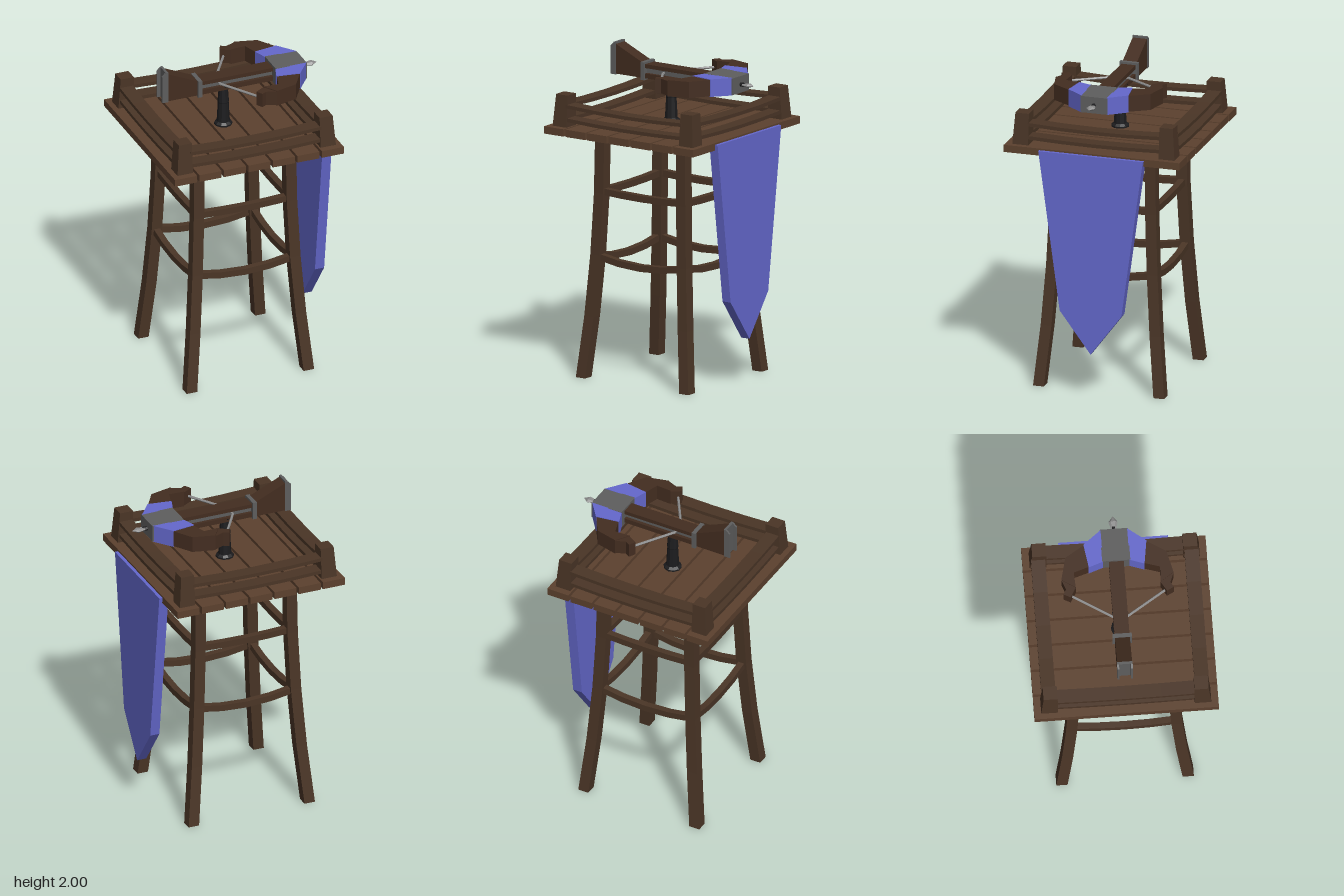
import * as THREE from 'three';

const CX = -0.025; // centre of the tower in x
const mat = (color) => new THREE.MeshStandardMaterial({ color, flatShading: true });
const plankWood = mat(0x5c412e), frameWood = mat(0x4a3526), darkWood = mat(0x432d20);
const cloth = mat(0x6468cc), steel = mat(0x5e5e5e), iron = mat(0x1c1c1e), bright = mat(0x8c8c8c);

export function createModel() {
  const root = new THREE.Group();

  const add = (name, geometry, material, x = 0, y = 0, z = 0, parent = root) => {
    const mesh = new THREE.Mesh(geometry, material);
    mesh.name = name;
    mesh.position.set(x, y, z);
    parent.add(mesh);
    return mesh;
  };
  const box = (name, material, x0, x1, y0, y1, z0, z1, parent = root) =>
    add(name, new THREE.BoxGeometry(x1 - x0, y1 - y0, z1 - z0), material,
      (x0 + x1) / 2, (y0 + y1) / 2, (z0 + z1) / 2, parent);
  const deform = (geometry, rule) => {
    const p = geometry.attributes.position;
    const v = new THREE.Vector3();
    for (let i = 0; i < p.count; i++) {
      rule(v.fromBufferAttribute(p, i));
      p.setXYZ(i, v.x, v.y, v.z);
    }
    geometry.computeVertexNormals();
    return geometry;
  };
  const shapeOf = (points) => new THREE.Shape(points.map(([x, y]) => new THREE.Vector2(x, y)));
  const extrude = (points, depth) =>
    new THREE.ExtrudeGeometry(shapeOf(points), { depth, bevelEnabled: false });
  // outline given as [x, z], raised from y0 to y1
  const plan = (points, y0, y1) =>
    extrude(points.map(([x, z]) => [x, -z]), y1 - y0).rotateX(-Math.PI / 2).translate(0, y0, 0);
  const rod = (name, a, b, radius, material, parent) => {
    const dir = new THREE.Vector3().subVectors(b, a);
    const mesh = add(name, new THREE.CylinderGeometry(radius, radius, dir.length(), 6), material, 0, 0, 0, parent);
    mesh.position.addVectors(a, b).multiplyScalar(0.5);
    mesh.quaternion.setFromUnitVectors(new THREE.Vector3(0, 1, 0), dir.normalize());
  };

  // deck planks
  for (let i = -3; i <= 3; i++) {
    const x = CX + i * 0.159;
    box('deckPlank', plankWood, x - 0.072, x + 0.072, 1.51, 1.555, -0.555, 0.555);
  }

  // splayed legs and corner posts
  const splay = (y) => 0.297 + 0.083 * (1 - y / 1.51) ** 2;
  for (const sx of [-1, 1]) {
    for (const sz of [-1, 1]) {
      const leg = new THREE.BoxGeometry(0.068, 1.51, 0.068, 1, 4, 1).translate(0, 0.755, 0);
      add('leg', deform(leg, (v) => {
        const s = splay(v.y);
        v.x += sx * s;
        v.z += sz * s;
      }), frameWood, CX);
      const post = new THREE.BoxGeometry(0.1, 0.195, 0.1);
      add('cornerPost', deform(post, (v) => {
        if (v.y < 0) return;
        if (v.x * sx > 0) v.x -= sx * 0.015;
        if (v.z * sz > 0) v.z -= sz * 0.015;
      }), frameWood, CX + sx * 0.465, 1.6525, sz * 0.462);
    }
  }

  // sagging rungs and rails on all four sides
  const sagBar = (length, height, depth, sag) =>
    deform(new THREE.BoxGeometry(length, height, depth, 4, 1, 1), (v) => {
      v.y -= sag * (1 - (2 * v.x / length) ** 2);
    });
  for (let side = 0; side < 4; side++) {
    const frame = new THREE.Group();
    frame.name = 'sideFrame';
    frame.position.x = CX;
    frame.rotation.y = side * Math.PI / 2;
    root.add(frame);
    for (const [y, sag] of [[0.745, 0.035], [1.145, 0.01]]) {
      const s = splay(y);
      add('legRung', sagBar(2 * s, 0.04, 0.04, sag), frameWood, 0, y, s, frame);
    }
    for (const [y, sag] of [[1.6, 0.01], [1.683, 0.012]]) {
      add('guardRail', sagBar(0.85, 0.022, 0.085, sag), frameWood, 0, y, 0.462, frame);
    }
  }

  // hanging banner with pointed end
  const banner = extrude([[-0.33, 1.545], [-0.195, 0.55], [0, 0.29], [0.195, 0.55], [0.33, 1.545]], 0.06);
  add('banner', banner.rotateY(Math.PI / 2), cloth, 0.485);

  // swivel stand
  const profile = [[0, 0], [0.055, 0], [0.055, 0.012], [0.04, 0.025], [0.033, 0.15], [0.035, 0.155],
    [0.026, 0.27], [0, 0.27]].map(([r, y]) => new THREE.Vector2(r, y));
  add('swivelStand', new THREE.LatheGeometry(profile, 10), iron, -0.03, 1.553, 0);
  add('swivelYoke', new THREE.CylinderGeometry(0.05, 0.035, 0.02, 8), iron, -0.03, 1.815, 0);

  const bow = new THREE.Group();
  bow.name = 'crossbow';
  root.add(bow);

  // stock: two boards with the bolt channel between, and a raised butt
  box('stockBase', darkWood, -0.22, 0.3, 1.805, 1.835, -0.045, 0.045, bow);
  box('stockTop', darkWood, -0.22, 0.3, 1.868, 1.892, -0.045, 0.045, bow);
  box('boltChannel', steel, -0.2, 0.3, 1.835, 1.868, -0.025, 0.025, bow);
  const butt = extrude([[-0.41, 1.805], [-0.2, 1.805], [-0.2, 1.895], [-0.41, 1.99]], 0.09);
  add('stockButt', butt, darkWood, 0, 0, -0.045, bow);
  box('stockBand', steel, -0.216, -0.19, 1.795, 1.905, -0.058, 0.058, bow);

  // hollow butt plate
  box('buttPlate', steel, -0.422, -0.406, 1.8, 2, -0.047, 0.047, bow);
  for (const z of [-0.047, 0.035]) {
    const flange = extrude([[-0.445, 1.8], [-0.42, 1.8], [-0.42, 2], [-0.445, 1.975]], 0.012);
    add('buttFlange', flange, steel, 0, 0, z, bow);
  }

  // bow head and limbs
  const head = deform(new THREE.BoxGeometry(0.205, 0.112, 0.17), (v) => {
    if (v.x > 0) v.y *= 0.92;
  });
  add('bowHead', head, steel, 0.378, 1.85, 0, bow);
  for (const s of [-1, 1]) {
    const limb = (points) => points.map(([x, z]) => [x, z * s]);
    add('limbSleeve', plan(limb([[0.275, 0.08], [0.245, 0.168], [0.392, 0.19], [0.477, 0.08]]),
      1.796, 1.904), cloth, 0, 0, 0, bow);
    add('limb', plan(limb([[0.25, 0.165], [0.22, 0.26], [0.124, 0.255], [0.18, 0.338], [0.317, 0.304],
      [0.39, 0.188]]), 1.8, 1.9), darkWood, 0, 0, 0, bow);
    add('limbTip', plan(limb([[0.124, 0.255], [0.065, 0.29], [0.087, 0.332], [0.118, 0.314], [0.18, 0.338]]),
      1.805, 1.895), darkWood, 0, 0, 0, bow);
    rod('bowString', new THREE.Vector3(0.09, 1.85, s * 0.285), new THREE.Vector3(-0.065, 1.85, s * 0.04),
      0.008, bright, bow);
  }
  rod('stringCentre', new THREE.Vector3(-0.065, 1.85, -0.045), new THREE.Vector3(-0.065, 1.85, 0.045),
    0.008, bright, bow);

  // bolt
  rod('boltShaft', new THREE.Vector3(0.2, 1.85, 0), new THREE.Vector3(0.51, 1.85, 0), 0.013, iron, bow);
  const tip = new THREE.LatheGeometry([[0, 0], [0.016, 0], [0.028, 0.045], [0, 0.08]]
    .map(([r, y]) => new THREE.Vector2(r, y)), 6).rotateZ(-Math.PI / 2).scale(1, 0.5, 1);
  add('boltTip', tip, bright, 0.498, 1.85, 0, bow);

  return root;
}
